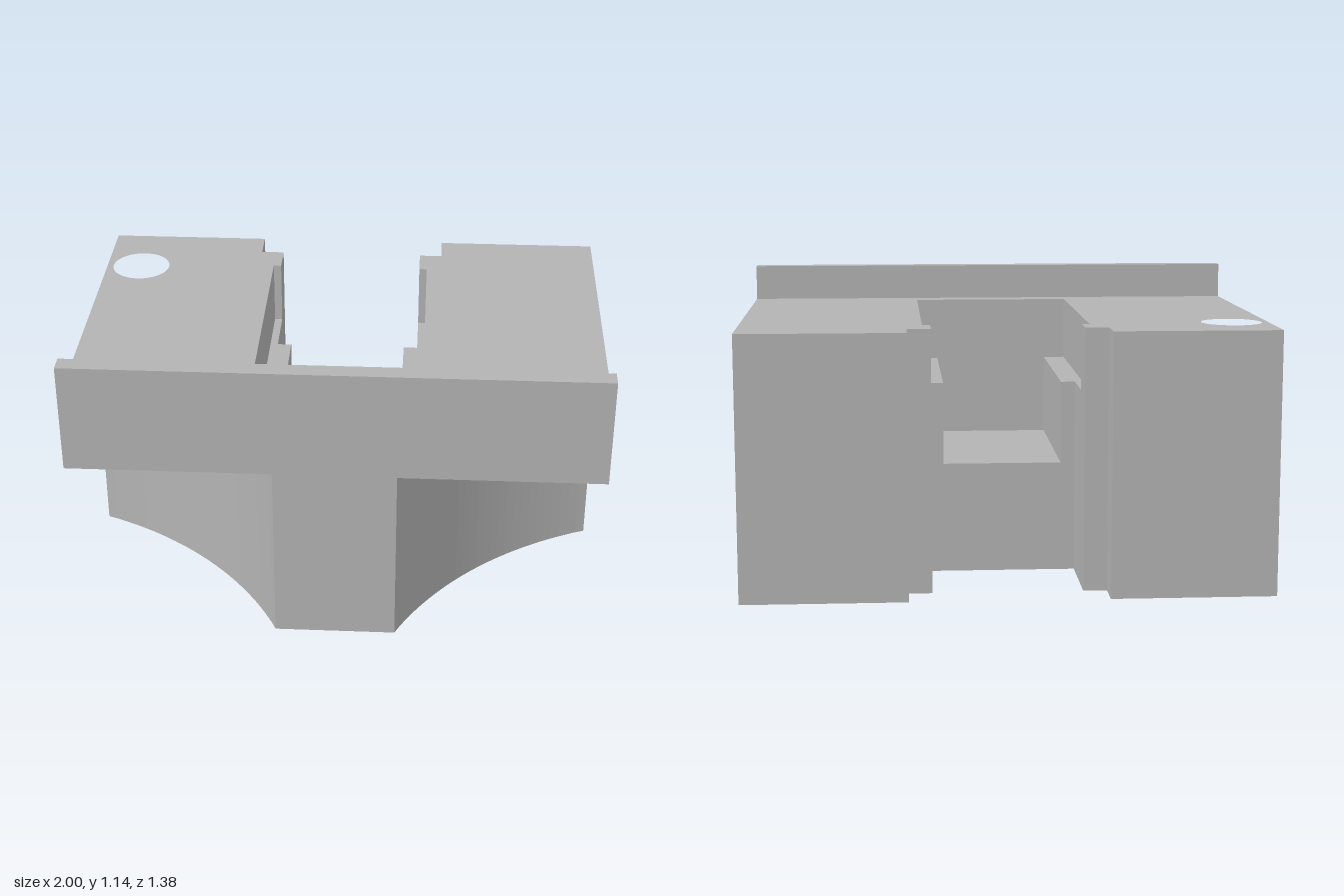
import * as THREE from 'three';

const gray = new THREE.MeshStandardMaterial({ color: 0xb3b3b3 });
gray.name = 'plain gray';

// Half-outlines as [x, z] on the +x side, from the back opening round to the front.
const backNotch = [[0.285, -0.565], [0.375, -0.565], [0.375, -0.69], [1, -0.69]];
const solidInner = [[0.285, -0.225]];
const channelInner = [[0.23, 0.53], [0.23, -0.225], [0.285, -0.225]];
const recessInner = [[0.315, 0.53], [0.315, -0.44], [0.285, -0.44]];
const squareFront = [[1, 0.69]];

// Concave sweep from the side face to the narrow front face
function scoopedFront(segments = 28) {
  const cx = 1.54, cz = 1.31, r = 1.45;
  const a0 = Math.atan2(-0.035 - cz, 1 - cx);
  const a1 = Math.atan2(0.69 - cz, 0.23 - cx) - 2 * Math.PI * (0.69 > cz ? 1 : 0);
  const points = [[1, -0.035]];
  for (let i = 1; i < segments; i++) {
    const a = a0 + (a1 - a0) * i / segments;
    points.push([cx + r * Math.cos(a), cz + r * Math.sin(a)]);
  }
  points.push([0.23, 0.69]);
  return points;
}

// Mirrored horizontal slice extruded between two heights
function slice(name, inner, front, y0, y1, withHole) {
  const half = [...inner, ...backNotch, ...front];
  const mirrored = half.map(([x, z]) => [-x, z]).reverse();
  const shape = new THREE.Shape([...half, ...mirrored].map(([x, z]) => new THREE.Vector2(x, -z)));
  if (withHole) {
    const hole = new THREE.Path();
    hole.absarc(-0.86, 0.41, 0.115, 0, Math.PI * 2, true);
    shape.holes.push(hole);
  }
  const geometry = new THREE.ExtrudeGeometry(shape, { depth: y1 - y0, bevelEnabled: false, curveSegments: 40 });
  geometry.rotateX(-Math.PI / 2).translate(0, y0, 0);
  const mesh = new THREE.Mesh(geometry, gray);
  mesh.name = name;
  return mesh;
}

export function createModel() {
  const model = new THREE.Group();
  model.name = 'bracketBlock';
  const scoop = scoopedFront();

  // Scooped foot, then the overhanging upper block with channel and wider recess
  model.add(
    slice('foot', solidInner, scoop, 0, 0.43, false),
    slice('channelWalls', channelInner, scoop, 0.43, 0.715, true),
    slice('overhangBase', channelInner, squareFront, 0.715, 0.75, true),
    slice('recessedTop', recessInner, squareFront, 0.75, 1, true),
  );

  // Raised lip along the front edge
  const lip = new THREE.Mesh(new THREE.BoxGeometry(2, 0.14, 0.07), gray);
  lip.position.set(0, 1.07, 0.655);
  lip.name = 'frontLip';
  model.add(lip);
  return model;
}
